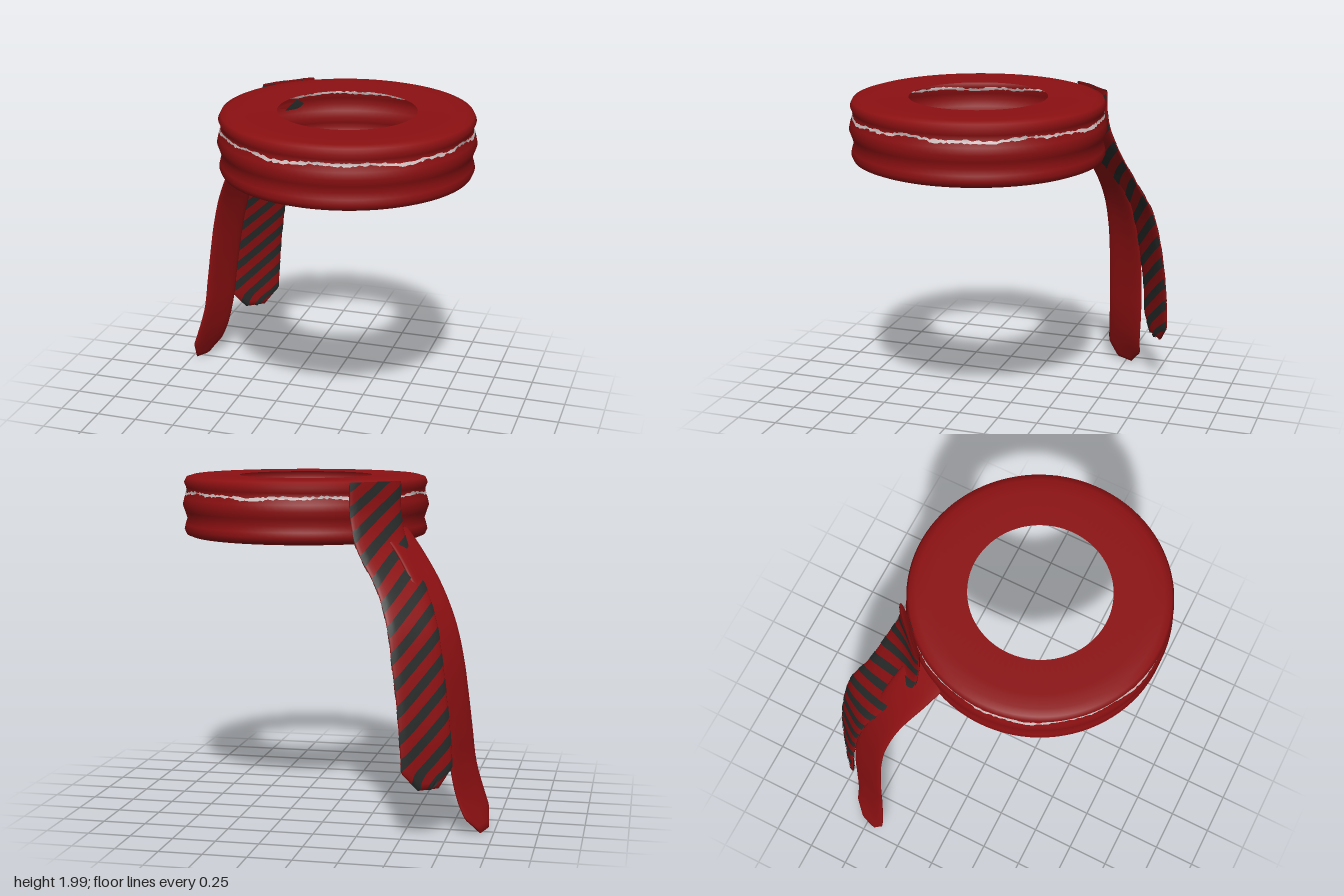
import * as THREE from 'three';

const mat = (name, color) => {
  const m = new THREE.MeshStandardMaterial({ color, side: THREE.DoubleSide });
  m.name = name;
  return m;
};
const V = (x, y, z) => new THREE.Vector3(x, y, z);
const CX = 0.237, CZ = 0.117;

// Mesh from a grid of points: point(i, j) for i < rows, j < cols
function gridGeometry(rows, cols, point, wrap = false) {
  const pos = [], index = [];
  for (let i = 0; i < rows; i++) for (let j = 0; j < cols; j++) pos.push(...point(i, j).toArray());
  for (let i = 0; i < rows - 1; i++) for (let j = 0; j < (wrap ? cols : cols - 1); j++) {
    const k = (j + 1) % cols, a = i * cols + j, b = i * cols + k, c = a + cols, d = b + cols;
    index.push(a, b, c, b, d, c);
  }
  const g = new THREE.BufferGeometry();
  g.setAttribute('position', new THREE.Float32BufferAttribute(pos, 3));
  g.setIndex(index);
  g.computeVertexNormals();
  return g;
}

// Strap surface between two edge curves; s across, t down, off along the outward normal
function strapSurface(edges) {
  const [a, b] = edges.map(pts => new THREE.CatmullRomCurve3(pts.map(p => V(...p)), false, 'centripetal'));
  return (s, t, off) => {
    const taper = t > 0.94 ? 1 - 0.6 * (t - 0.94) / 0.06 : 1;
    const p = a.getPointAt(t), q = b.getPointAt(t);
    const n = q.clone().sub(p).cross(a.getTangentAt(t)).normalize();
    if (n.x + n.z > 0) n.negate();
    return p.lerp(q, 0.5 + (s - 0.5) * taper).addScaledVector(n, off);
  };
}
const thickness = (s, t, h) => h * Math.pow(Math.max(0, 1 - Math.pow(Math.abs(2 * s - 1), 4)), 0.5) * (t >= 1 ? 0 : 1);

// Closed strap body with rounded edges
function strapBody(surface, h) {
  return gridGeometry(91, 24, (i, j) => {
    const ang = j / 24 * Math.PI * 2, s = 0.5 + 0.5 * Math.cos(ang), t = i / 90;
    return surface(s, t, Math.sign(Math.sin(ang)) * thickness(s, t, h));
  }, true);
}

export function createModel() {
  const root = new THREE.Group();
  const red = mat('deep red', 0x8c1012), dark = mat('charcoal', 0x282a2a), pale = mat('pale grey', 0xd0c0c0);
  const add = (name, geo, m, parent = root) => {
    const mesh = new THREE.Mesh(geo, m);
    mesh.name = name;
    parent.add(mesh);
    return mesh;
  };

  // Hollow ring, open on its inner side
  const ring = new THREE.Group();
  ring.name = 'ring';
  ring.position.set(CX, 0, CZ);
  root.add(ring);
  const profile = [
    [0.57, 1.645], [0.64, 1.633], [0.69, 1.632], [0.722, 1.645], [0.735, 1.675], [0.728, 1.705], [0.717, 1.74],
    [0.73, 1.78], [0.744, 1.82], [0.735, 1.86], [0.718, 1.9], [0.723, 1.925], [0.735, 1.955], [0.72, 1.985],
    [0.68, 1.997], [0.6, 2], [0.4, 1.995],
  ].map(p => new THREE.Vector2(...p));
  add('ringShell', new THREE.LatheGeometry(profile, 96), red, ring);

  // Ragged pale line round the wall, outside and inside
  const wallRadius = y => {
    for (let i = 7; i < 13; i++) {
      const p = profile[i], q = profile[i + 1];
      if (y <= q.y) return p.x + (q.x - p.x) * (y - p.y) / (q.y - p.y);
    }
    return 0.72;
  };
  let seed = 7;
  const rand = () => (seed = (seed * 16807) % 2147483647) / 2147483647;
  const N = 288, line = [];
  for (let i = 0; i < N; i++) {
    const mid = 1.896 + 0.006 * Math.sin(i * 0.13) + 0.004 * Math.sin(i * 0.31 + 1);
    line.push([mid - 0.002 - 0.011 * rand(), mid + 0.002 + 0.011 * rand()]);
  }
  for (const [name, off] of [['outerLine', 0.004], ['innerLine', -0.004]]) {
    add(name, gridGeometry(N + 1, 3, (i, j) => {
      const [lo, hi] = line[i % N], y = lo + (hi - lo) * j / 2, a = i / N * Math.PI * 2, r = wallRadius(y) + off;
      return V(Math.sin(a) * r, y, Math.cos(a) * r);
    }), pale, ring);
  }

  // Plain strap, starting inside the ring and flaring out at the foot
  const plain = strapSurface([
    [[-0.28, 1.74, -0.38], [-0.41, 1.6, -0.45], [-0.53, 1.4, -0.52], [-0.61, 1.2, -0.58], [-0.67, 1, -0.615],
      [-0.71, 0.8, -0.635], [-0.74, 0.6, -0.64], [-0.765, 0.4, -0.635], [-0.81, 0.2, -0.62], [-0.9, 0.005, -0.61]],
    [[-0.4, 1.74, -0.13], [-0.52, 1.6, -0.21], [-0.66, 1.4, -0.32], [-0.75, 1.2, -0.375], [-0.8, 1, -0.395],
      [-0.83, 0.8, -0.4], [-0.855, 0.6, -0.4], [-0.88, 0.4, -0.395], [-0.935, 0.2, -0.38], [-0.99, 0.03, -0.37]],
  ]);
  add('plainStrap', strapBody(plain, 0.014), red);

  // Striped strap, lying over the ring wall and hanging outside the plain one
  const group = new THREE.Group();
  group.name = 'stripedStrap';
  root.add(group);
  const striped = strapSurface([
    [[-0.165, 1.985, -0.535], [-0.17, 1.8, -0.55], [-0.215, 1.63, -0.6], [-0.35, 1.4, -0.68], [-0.425, 1.2, -0.77],
      [-0.46, 1, -0.815], [-0.49, 0.8, -0.84], [-0.51, 0.6, -0.855], [-0.53, 0.31, -0.86]],
    [[-0.415, 1.985, -0.29], [-0.42, 1.8, -0.3], [-0.46, 1.63, -0.32], [-0.59, 1.4, -0.45], [-0.67, 1.2, -0.55],
      [-0.71, 1, -0.6], [-0.74, 0.8, -0.63], [-0.765, 0.6, -0.65], [-0.785, 0.31, -0.66]],
  ]);
  add('strapBody', strapBody(striped, 0.016), red, group);

  // Diagonal stripes on both faces
  const period = 0.082, rise = 0.15;
  for (const side of [1, -1]) {
    for (let k = -2; k < 15; k++) {
      const start = k * period;
      if (start + rise + period < 0 || start - rise > 1) continue;
      add(side > 0 ? 'outerStripe' : 'innerStripe', gridGeometry(4, 15, (i, j) => {
        const s = j / 14;
        const t = THREE.MathUtils.clamp(start + i / 3 * period * 0.47 - side * rise * (s - 0.5), 0, 1);
        return striped(s, t, side * (thickness(s, t, 0.016) + 0.004));
      }), dark, group);
    }
  }
  return root;
}
